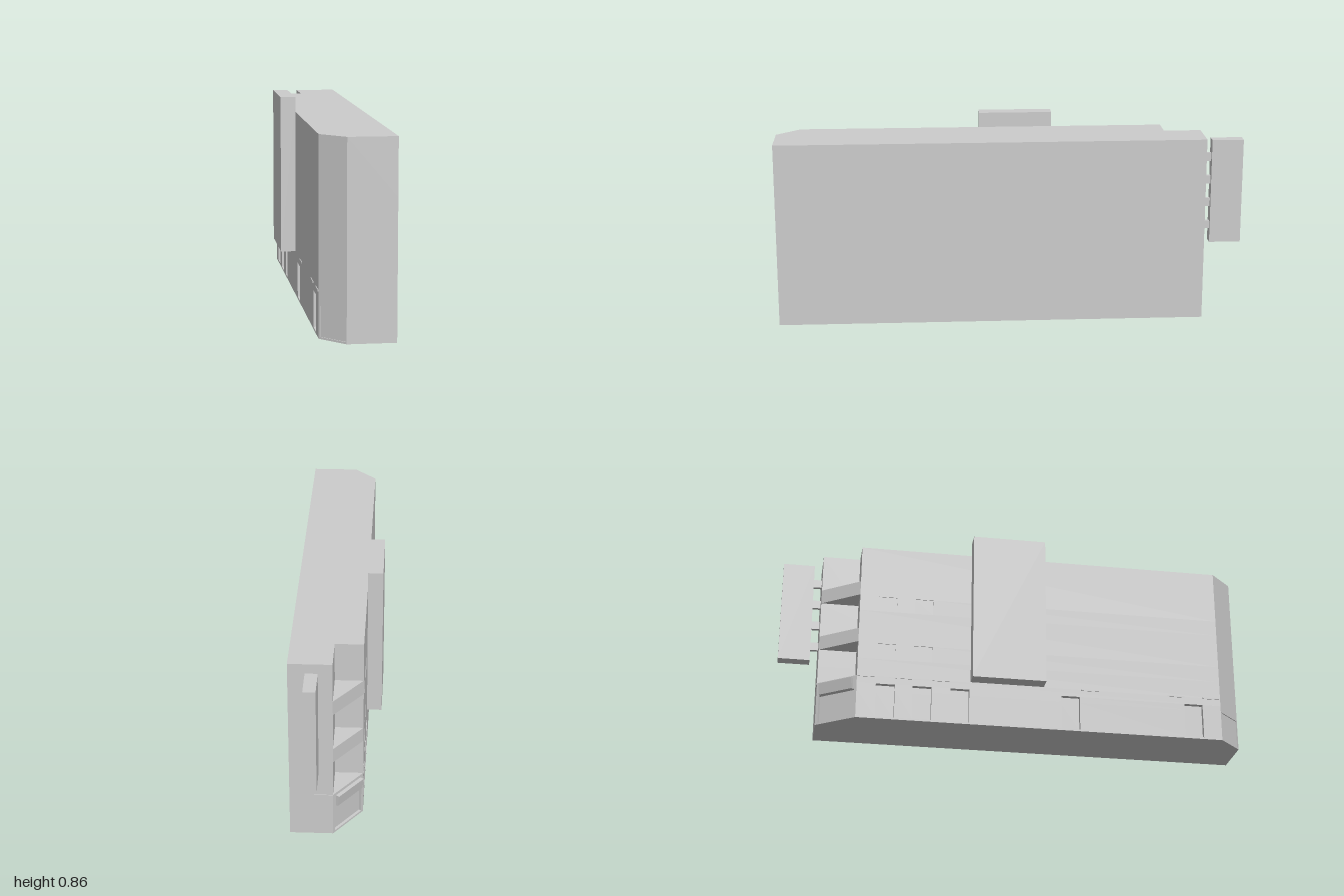
import * as THREE from 'three';

const WALL = -0.115;
const FRONT = [[0.175, 1], [-0.02, 1]];
const A = [-0.02, 1], B = [WALL, 0.9], C = [WALL, -0.67], D = [0, -0.83];
const BACK = [[0.175, -0.83]];

// Edge from p to q with rectangular recesses; each cut is [start, end, depth] along the edge
function edge(p, q, cuts = []) {
  const len = Math.hypot(q[0] - p[0], q[1] - p[1]);
  const d = [(q[0] - p[0]) / len, (q[1] - p[1]) / len];
  const at = (s, k) => [p[0] + d[0] * s - d[1] * k, p[1] + d[1] * s + d[0] * k];
  const pts = [p];
  for (const [s, e, k] of cuts) pts.push(at(s, 0), at(s, k), at(e, k), at(e, 0));
  return [...pts, q];
}

// Recesses in the long side wall, from z centres
const wallCuts = (centres, width, depth) =>
  centres.map((z) => [0.9 - z - width / 2, 0.9 - z + width / 2, depth]);

export function createModel() {
  const group = new THREE.Group();
  const material = new THREE.MeshStandardMaterial({ color: 0xcccccc, flatShading: true });

  const add = (name, geometry) => {
    const mesh = new THREE.Mesh(geometry, material);
    mesh.name = name;
    group.add(mesh);
    return mesh;
  };
  const box = (name, x0, x1, y0, y1, z0, z1) =>
    add(name, new THREE.BoxGeometry(x1 - x0, y1 - y0, z1 - z0))
      .position.set((x0 + x1) / 2, (y0 + y1) / 2, (z0 + z1) / 2);
  // Storey: a plan outline in x, z raised from y0 to y1
  const storey = (name, pts, y0, y1) => {
    const shape = new THREE.Shape(pts.map(([x, z]) => new THREE.Vector2(x, -z)));
    const geo = new THREE.ExtrudeGeometry(shape, { depth: y1 - y0, bevelEnabled: false });
    add(name, geo.rotateX(-Math.PI / 2).translate(0, y0, 0));
  };

  // Ground floor with doorways and corner shopfronts
  const doors = wallCuts([0.78, 0.24, -0.235, -0.395, -0.55], 0.08, 0.02);
  const ground = (frontCut, doorCuts, cornerCut) => [
    ...FRONT, ...edge(A, B, frontCut).slice(1), ...edge(B, C, doorCuts).slice(1),
    ...edge(C, D, cornerCut).slice(1), ...BACK];
  storey('plinth', ground([], [], []), 0, 0.008);
  storey('groundFloor', ground([[0.004, 0.13, 0.004]], doors, [[0.012, 0.185, 0.012]]), 0.008, 0.13);
  storey('doorHeads', ground([], doors, []), 0.13, 0.157);
  storey('groundCeiling', ground([], [], []), 0.157, 0.19);

  // Upper floors with an open balcony corner and shallow windows
  const windows = wallCuts([-0.395, -0.55], 0.078, 0.003);
  const upper = (cuts) => [...FRONT, ...edge(B, C, cuts), [0, -0.67], D, ...BACK];
  const levels = [0.19, 0.27, 0.342, 0.494, 0.563, 0.795];
  for (let i = 0; i < levels.length - 1; i++)
    storey(i % 2 ? 'windowStorey' : 'upperStorey', upper(i % 2 ? windows : []), levels[i], levels[i + 1]);

  // Balcony slabs across the corner
  for (const y of [0.347, 0.568]) storey('balconySlab', [C, [0, -0.67], D], y, y + 0.062);

  // Tilted fascia over the corner shopfront
  const section = new THREE.Shape([[0, 0.13], [0.01, 0.13], [0.017, 0.178], [0, 0.178]]
    .map(([x, y]) => new THREE.Vector2(x, y)));
  const length = Math.hypot(D[0] - C[0], D[1] - C[1]);
  const along = new THREE.Vector3((D[0] - C[0]) / length, 0, (D[1] - C[1]) / length);
  const out = new THREE.Vector3(along.z, 0, -along.x);
  const fascia = new THREE.ExtrudeGeometry(section, { depth: length - 0.036, bevelEnabled: false });
  const frame = new THREE.Matrix4().makeBasis(out, new THREE.Vector3(0, 1, 0), along.clone());
  frame.setPosition(C[0] + along.x * 0.018, 0, C[1] + along.z * 0.018);
  add('shopFascia', fascia.applyMatrix4(frame));

  // Thin ledges above the ground floor
  for (const z of [-0.667, -0.509, -0.352, 0.287, 0.665, 0.822])
    box('ledge', WALL - 0.003, WALL, 0.186, 0.192, z, z + 0.076);
  box('backLedge', 0, 0.076, 0.184, 0.19, -0.833, -0.83);

  // Large upright board on the side wall
  box('sideBoard', -0.178, WALL, 0.192, 0.858, -0.19, 0.125);

  // Hanging board on brackets at the back
  box('backBoard', 0.055, 0.105, 0.32, 0.775, -1, -0.865);
  for (let i = 0; i < 4; i++)
    box('bracket', 0.073, 0.088, 0.377 + i * 0.101, 0.413 + i * 0.101, -0.866, -0.829);

  return group;
}
